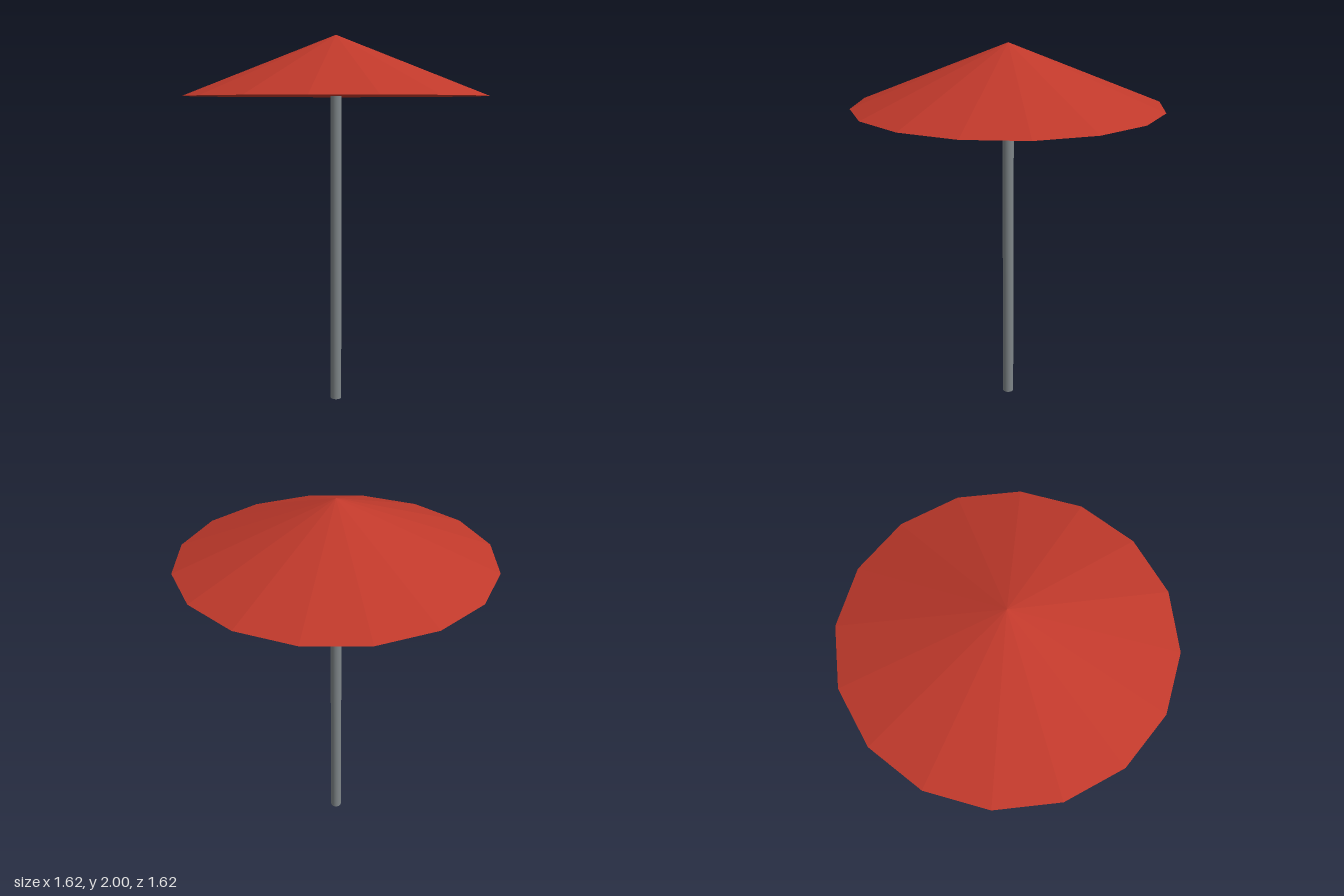
import * as THREE from 'three';

export function createModel() {
  const model = new THREE.Group();
  model.name = 'parasol';

  const red = new THREE.MeshStandardMaterial({ color: 0xc0392b });
  red.name = 'red canopy';
  red.flatShading = true;
  const grey = new THREE.MeshStandardMaterial({ color: 0x7f8689 });
  grey.name = 'grey pole';

  // Straight round pole, ending just inside the canopy
  const poleHeight = 1.7;
  const pole = new THREE.Mesh(new THREE.CylinderGeometry(0.03, 0.03, poleHeight, 16), grey);
  pole.name = 'pole';
  pole.position.y = poleHeight / 2;

  // Shallow faceted cone with a closed, flat underside
  const canopyHeight = 0.32;
  const canopy = new THREE.Mesh(new THREE.ConeGeometry(0.808, canopyHeight, 16), red);
  canopy.name = 'canopy';
  canopy.position.y = 2 - canopyHeight / 2;

  model.add(pole, canopy);
  return model;
}
